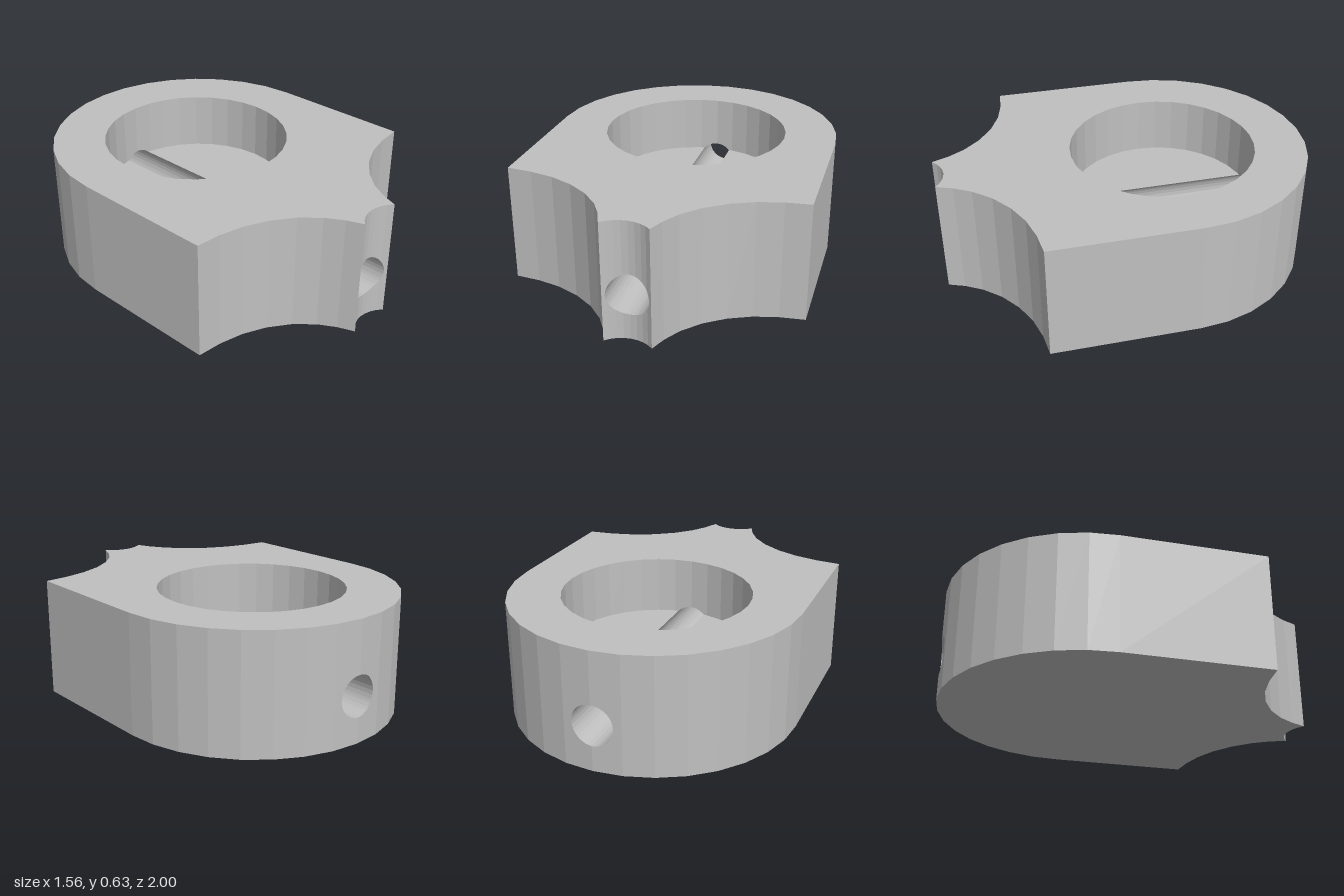
import * as THREE from 'three';

const H = 0.635, FLOOR = 0.322;             // block height, pocket floor height
const ZC = -0.22, R_OUT = 0.78, R_POCKET = 0.5;
const BORE_Y = 0.246, BORE_R = 0.109;
const STEP = Math.PI / 16;                  // 32-sided circles
const SLOT = Math.sqrt(BORE_R ** 2 - (FLOOR - BORE_Y) ** 2); // half width of slot in floor

// Ribbon of flat quads between two equally long rows of [x, y, z]
function ribbon(out, a, b) {
  for (let i = 0; i + 1 < a.length; i++) {
    out.push(...a[i], ...a[i + 1], ...b[i + 1], ...a[i], ...b[i + 1], ...b[i]);
  }
}

// Height of z on a polyline of [x, z] sorted by x
function zAt(line, x) {
  let i = 0;
  while (i < line.length - 2 && x > line[i + 1][0]) i++;
  const [p, q] = [line[i], line[i + 1]];
  return p[1] + (q[1] - p[1]) * (x - p[0]) / (q[0] - p[0]);
}

export function createModel() {
  const group = new THREE.Group();
  const grey = new THREE.MeshStandardMaterial({ color: 0xc0c0c0 });

  const add = (name, geometry) => {
    const mesh = new THREE.Mesh(geometry, grey);
    mesh.name = name;
    group.add(mesh);
  };
  const addRibbons = (name, out) => {
    const g = new THREE.BufferGeometry();
    g.setAttribute('position', new THREE.Float32BufferAttribute(out, 3));
    g.computeVertexNormals();
    add(name, g);
  };
  // Flat horizontal face from [x, z] points
  const addCap = (name, pts, y, up, hole) => {
    const s = up ? -1 : 1;
    const vec = (list) => list.map(([x, z]) => new THREE.Vector2(x, s * z));
    const shape = new THREE.Shape(vec(pts));
    if (hole) shape.holes.push(new THREE.Path(vec(hole)));
    add(name, new THREE.ShapeGeometry(shape).rotateX(s * Math.PI / 2).translate(0, y, 0));
  };

  // Outline pieces, all sorted by x
  const arc = (r, from, to, zc, sign) => {
    const pts = [];
    for (let i = from; i <= to; i++) pts.push([r * Math.sin(i * STEP), zc + sign * r * Math.cos(i * STEP)]);
    return pts;
  };
  const nose = arc(0.172, -4, 4, 0.95 + 0.172, -1);
  const back = arc(R_OUT, -8, 8, ZC, -1);
  const scoop = [[0.155, 0.915], [0.208, 0.825], [0.292, 0.733], [0.4, 0.656],
    [0.52, 0.602], [0.648, 0.571], [0.78, 0.558]];
  const scoopLeft = scoop.map(([x, z]) => [-x, z]).reverse();
  const outline = [...nose, ...scoop, ...[...back].reverse(), ...scoopLeft];
  const pocket = arc(R_POCKET, 0, 31, ZC, 1);
  const pocketFront = arc(R_POCKET, -1, 1, ZC, 1);
  const pocketBack = arc(R_POCKET, -1, 1, ZC, -1);

  // Columns across the bore, including every facet break it meets
  let xs = [-SLOT, SLOT, ...nose.slice(1, -1).map((p) => p[0])];
  for (let i = 0; i <= 16; i++) xs.push(-BORE_R * Math.cos(i * STEP));
  xs = xs.sort((a, b) => a - b).filter((x, i, l) => i === 0 || x - l[i - 1] > 1e-6);
  const half = (x) => Math.sqrt(Math.max(0, BORE_R ** 2 - x * x));
  const low = (x) => BORE_Y - half(x);
  const high = (x) => BORE_Y + half(x);
  const row = (cols, line, y) => cols.map((x) => [x, y(x), zAt(line, x)]);
  const ground = () => 0, top = () => H;

  // Caps
  addCap('topFace', outline, H, true, pocket);
  addCap('bottomFace', outline, 0, false);

  // Plain outer walls, from the nose round to the bored back facets and on
  const sides = [];
  const wall = (pts) => ribbon(sides, pts.map(([x, z]) => [x, 0, z]), pts.map(([x, z]) => [x, H, z]));
  wall([nose[8], ...scoop, ...back.slice(9).reverse()]);
  wall([...back.slice(0, 8).reverse(), ...scoopLeft, nose[0]]);
  addRibbons('outerWalls', sides);

  // Nose and back walls with the round bore opening
  const noseWall = [], noseXs = [nose[0][0], ...xs, nose[8][0]];
  ribbon(noseWall, row(noseXs, nose, ground), row(noseXs, nose, low));
  ribbon(noseWall, row(noseXs, nose, high), row(noseXs, nose, top));
  addRibbons('noseWall', noseWall);

  const backWall = [], backXs = [back[7][0], ...xs, back[9][0]];
  ribbon(backWall, row(backXs, back, low), row(backXs, back, ground));
  ribbon(backWall, row(backXs, back, top), row(backXs, back, high));
  addRibbons('backWall', backWall);

  // Pocket wall, notched where the bore passes above the floor
  const pocketWall = [];
  for (const pts of [pocket.slice(1, 16), pocket.slice(17)]) {
    ribbon(pocketWall, pts.map(([x, z]) => [x, H, z]), pts.map(([x, z]) => [x, FLOOR, z]));
  }
  const slotXs = xs.filter((x) => Math.abs(x) < SLOT + 1e-6);
  const pocketXs = [pocketFront[0][0], ...slotXs, pocketFront[2][0]];
  const notch = (x) => Math.max(FLOOR, high(x));
  ribbon(pocketWall, row(pocketXs, pocketFront, top), row(pocketXs, pocketFront, notch));
  ribbon(pocketWall, row(pocketXs, pocketBack, notch), row(pocketXs, pocketBack, top));
  addRibbons('pocketWall', pocketWall);

  // Pocket floor, one half on each side of the slot
  const floorHalf = [[SLOT, zAt(pocketFront, SLOT)], ...pocket.slice(1, 16), [SLOT, zAt(pocketBack, SLOT)]];
  addCap('pocketFloorLeft', floorHalf, FLOOR, true);
  addCap('pocketFloorRight', floorHalf.map(([x, z]) => [-x, z]), FLOOR, true);

  // Bore through the block, open at the top inside the pocket
  const bore = [];
  const roof = (cols, a, b) => ribbon(bore, row(cols, a, high), row(cols, b, high));
  ribbon(bore, row(xs, nose, low), row(xs, back, low));
  roof(xs.filter((x) => x < -SLOT + 1e-6), back, nose);
  roof(xs.filter((x) => x > SLOT - 1e-6), back, nose);
  roof(slotXs, back, pocketBack);
  roof(slotXs, pocketFront, nose);
  addRibbons('bore', bore);

  return group;
}
